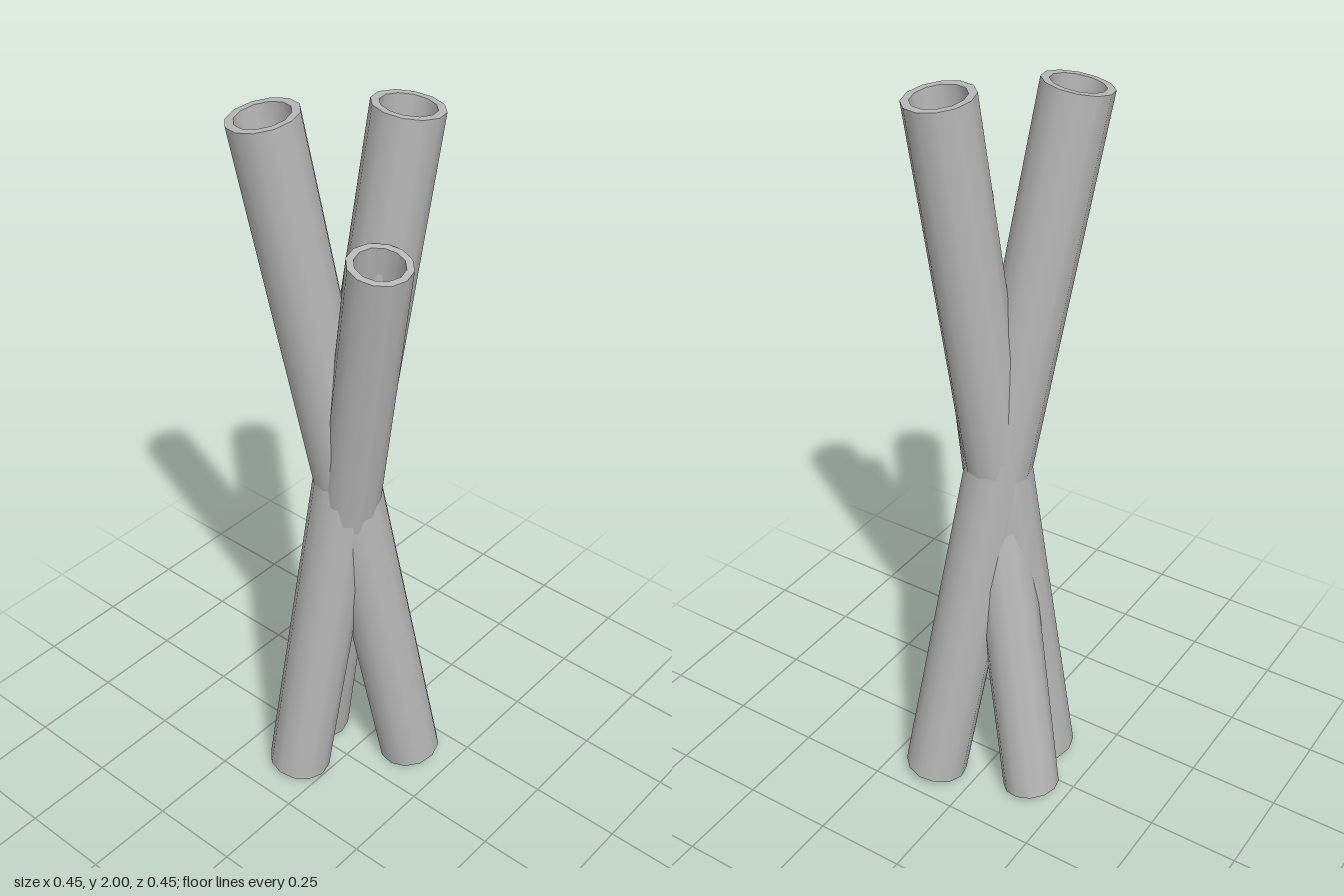
import * as THREE from 'three';
import { mergeGeometries } from 'three/addons/utils/BufferGeometryUtils.js';

const SIDES = 12;

// Hollow tube along y: outer wall, top rim, bore and bottom rim as separate
// bands, so the walls are smooth and the rims stay crisp
function hollowTube(outer, inner, length) {
  const h = length / 2;
  const ring = [[outer, -h], [outer, h], [inner, h], [inner, -h]]
    .map(([r, y]) => new THREE.Vector2(r, y));
  return mergeGeometries(ring.map((p, i) =>
    new THREE.LatheGeometry([p, ring[(i + 1) % ring.length]], SIDES)));
}

// Place a tube so that its axis runs from bottom to top
function tubeBetween(name, bottom, top, outer, inner, material) {
  const a = new THREE.Vector3(...bottom);
  const b = new THREE.Vector3(...top);
  const axis = b.clone().sub(a);
  const mesh = new THREE.Mesh(hollowTube(outer, inner, axis.length()), material);
  mesh.name = name;
  mesh.position.copy(a).add(b).multiplyScalar(0.5);
  mesh.quaternion.setFromUnitVectors(new THREE.Vector3(0, 1, 0), axis.normalize());
  return mesh;
}

export function createModel() {
  const grey = new THREE.MeshStandardMaterial({ color: 0xb8b8b8 });
  grey.name = 'grey';

  const model = new THREE.Group();
  model.name = 'crossedTubes';
  model.add(
    // Two long tubes crossing at mid height
    tubeBetween('frontLeaningTube', [0.12, 0.016, -0.14], [-0.121, 1.984, 0.137], 0.086, 0.066, grey),
    tubeBetween('backLeaningTube', [-0.086, 0.013, 0.107], [0.086, 1.987, -0.107], 0.086, 0.066, grey),
    // Shorter, thinner tube
    tubeBetween('shortTube', [-0.147, 0.016, -0.06], [0.146, 1.684, 0.057], 0.078, 0.06, grey),
  );
  return model;
}
